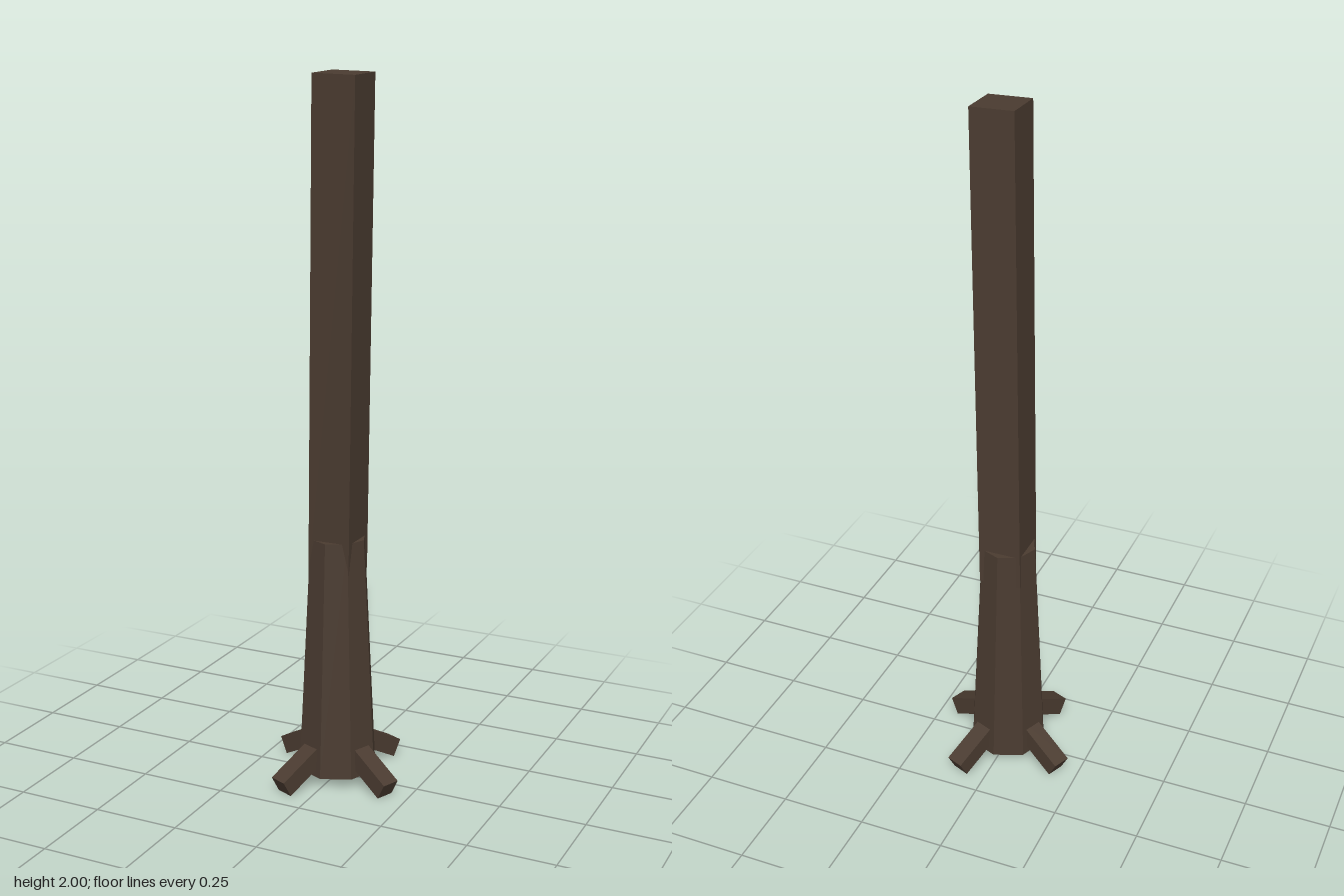
import * as THREE from 'three';

export function createModel() {
  const model = new THREE.Group();
  const bark = new THREE.MeshStandardMaterial({ color: 0x4a3b30, flatShading: true });

  const add = (name, geometry, parent = model) => {
    const mesh = new THREE.Mesh(geometry, bark);
    mesh.name = name;
    parent.add(mesh);
    return mesh;
  };

  // Tapered eight-sided base
  add('trunkBase', new THREE.CylinderGeometry(0.081, 0.116, 0.69, 8)).position.y = 0.375;

  // Square upper trunk, leaning towards +x and +z, hung from its top centre
  const length = 1.38;
  const upper = add('upperTrunk', new THREE.BoxGeometry(0.124, length, 0.124).translate(0, -length / 2, 0));
  upper.position.set(0.042, 1.9955, 0.052);
  upper.rotation.set(0.04, 0, -0.031);

  // Four roots sloping outward to the ground
  for (let i = 0; i < 4; i++) {
    const pivot = new THREE.Group();
    pivot.name = 'rootPivot' + (i + 1);
    pivot.rotation.y = -0.4 + i * Math.PI / 2;
    const root = add('root' + (i + 1), new THREE.BoxGeometry(0.2, 0.053, 0.053), pivot);
    root.position.set(0.125, 0.0715, 0);
    root.rotation.z = -0.5;
    model.add(pivot);
  }
  return model;
}
